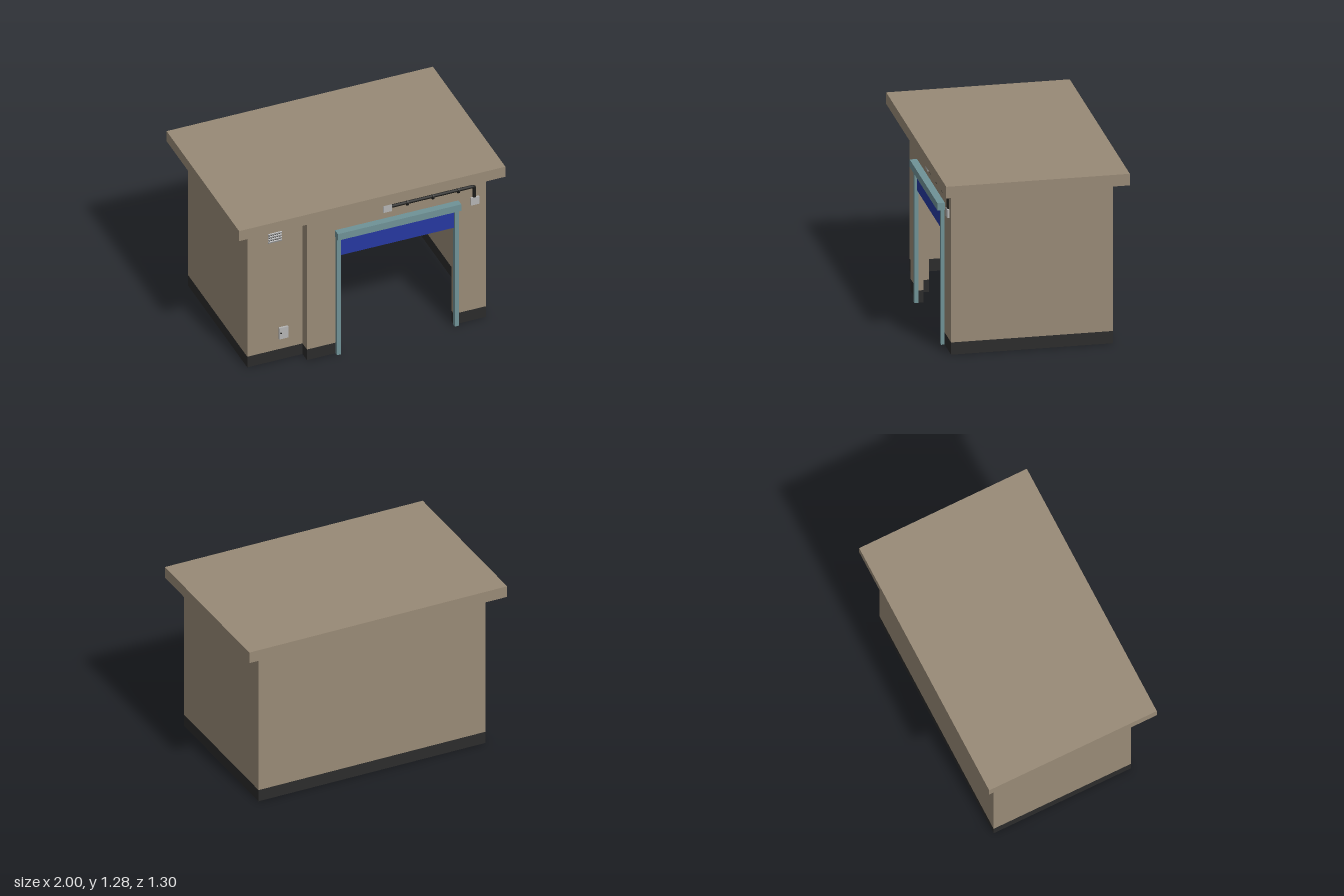
import * as THREE from 'three';

const mat = (color, extra = {}) => new THREE.MeshStandardMaterial({ color, ...extra });

export function createModel() {
  const model = new THREE.Group();
  const wall = mat(0x988a76), dark = mat(0x2b2b2b), steel = mat(0x6f9296);
  const blue = mat(0x2638a0), grey = mat(0xb4b4b4), black = mat(0x1c1c1a);

  const add = (name, geometry, material, parent = model) => {
    const mesh = new THREE.Mesh(geometry, material);
    mesh.name = name;
    parent.add(mesh);
    return mesh;
  };
  // Box given by its limits on each axis
  const box = (name, [x0, x1], [y0, y1], [z0, z1], material, parent) => {
    const g = new THREE.BoxGeometry(x1 - x0, y1 - y0, z1 - z0);
    g.translate((x0 + x1) / 2, (y0 + y1) / 2, (z0 + z1) / 2);
    return add(name, g, material, parent);
  };

  // Wall plan in (x, z): the left part of the front is set back
  const W = 0.88, back = -0.555, front = 0.59, recess = 0.51, step = -0.465, t = 0.04;
  const doorL = -0.22, doorR = 0.638, doorTop = 0.99, wallTop = 1.195, baseTop = 0.09;
  const points = (list) => list.map(([x, z]) => new THREE.Vector2(x, z));
  const outer = [[step, front], [step, recess], [-W, recess], [-W, back], [W, back], [W, front]];
  const inner = [[step + t, front - t], [step + t, recess - t], [-W + t, recess - t],
    [-W + t, back + t], [W - t, back + t], [W - t, front - t]];

  // Ring with a gap for the doorway
  const openPlan = new THREE.Shape(points([
    [doorL, front], ...outer, [doorR, front],
    [doorR, front - t], ...[...inner].reverse(), [doorL, front - t],
  ]));
  // Closed ring above the doorway
  const closedPlan = new THREE.Shape(points(outer));
  closedPlan.holes.push(new THREE.Path(points(inner)));

  const band = (name, plan, y0, y1, material) => {
    const g = new THREE.ExtrudeGeometry(plan, { depth: y1 - y0, bevelEnabled: false });
    g.rotateX(Math.PI / 2).translate(0, y1, 0);
    return add(name, g, material);
  };
  band('wallBase', openPlan, 0, baseTop, dark);
  band('walls', openPlan, baseTop, doorTop, wall);
  band('upperWalls', closedPlan, doorTop, wallTop, wall);

  box('roof', [-1, 1], [wallTop, 1.28], [-0.65, 0.65], wall);

  // Door frame and partly raised shutter
  const door = new THREE.Group();
  door.name = 'door';
  model.add(door);
  for (const [name, x] of [['rightPost', -0.25], ['leftPost', 0.634]]) {
    box(name, [x, x + 0.031], [0, doorTop], [front - 0.004, 0.616], steel, door);
  }
  box('doorHeader', [-0.255, 0.672], [doorTop, 1.045], [front - 0.004, 0.642], steel, door);
  box('shutter', [doorL, doorR], [0.828, doorTop], [0.583, 0.598], blue, door);

  // Louvred vent
  const vent = new THREE.Group();
  vent.name = 'vent';
  model.add(vent);
  box('ventBacking', [-0.722, -0.628], [1.012, 1.112], [recess - 0.004, recess + 0.003], black, vent);
  for (let i = 0; i < 5; i++) {
    const slat = add('ventSlat', new THREE.BoxGeometry(0.1, 0.018, 0.008), grey, vent);
    slat.position.set(-0.675, 1.02 + i * 0.0215, recess + 0.008);
    slat.rotation.x = 0.45;
  }

  // Small service hatch
  box('hatch', [-0.645, -0.577], [0.18, 0.275], [recess - 0.004, recess + 0.014], grey);
  const knob = add('hatchLatch', new THREE.CylinderGeometry(0.006, 0.006, 0.006, 12), black);
  knob.rotation.x = Math.PI / 2;
  knob.position.set(-0.633, 0.232, recess + 0.016);

  // Conduit between two junction boxes
  const conduit = new THREE.Group();
  conduit.name = 'conduit';
  model.add(conduit);
  const pipeY = 1.136, pipeX = 0.79, pipeZ = 0.592, bend = 0.018;
  const path = new THREE.CurvePath();
  const v = (x, y) => new THREE.Vector3(x, y, pipeZ);
  path.add(new THREE.LineCurve3(v(0.15, pipeY), v(pipeX - bend, pipeY)));
  path.add(new THREE.QuadraticBezierCurve3(v(pipeX - bend, pipeY), v(pipeX, pipeY), v(pipeX, pipeY - bend)));
  path.add(new THREE.LineCurve3(v(pipeX, pipeY - bend), v(pipeX, 1.03)));
  add('pipe', new THREE.TubeGeometry(path, 120, 0.013, 12), black, conduit);
  for (const x of [0.285, 0.477, 0.668]) {
    const clamp = add('pipeClamp', new THREE.CylinderGeometry(0.023, 0.023, 0.012, 20), black, conduit);
    clamp.rotation.z = Math.PI / 2;
    clamp.position.set(x, pipeY, pipeZ);
  }
  box('upperJunctionBox', [0.105, 0.168], [1.102, 1.165], [front - 0.004, 0.605], grey, conduit);
  box('lowerJunctionBox', [0.761, 0.824], [0.985, 1.046], [front - 0.004, 0.605], grey, conduit);

  return model;
}
